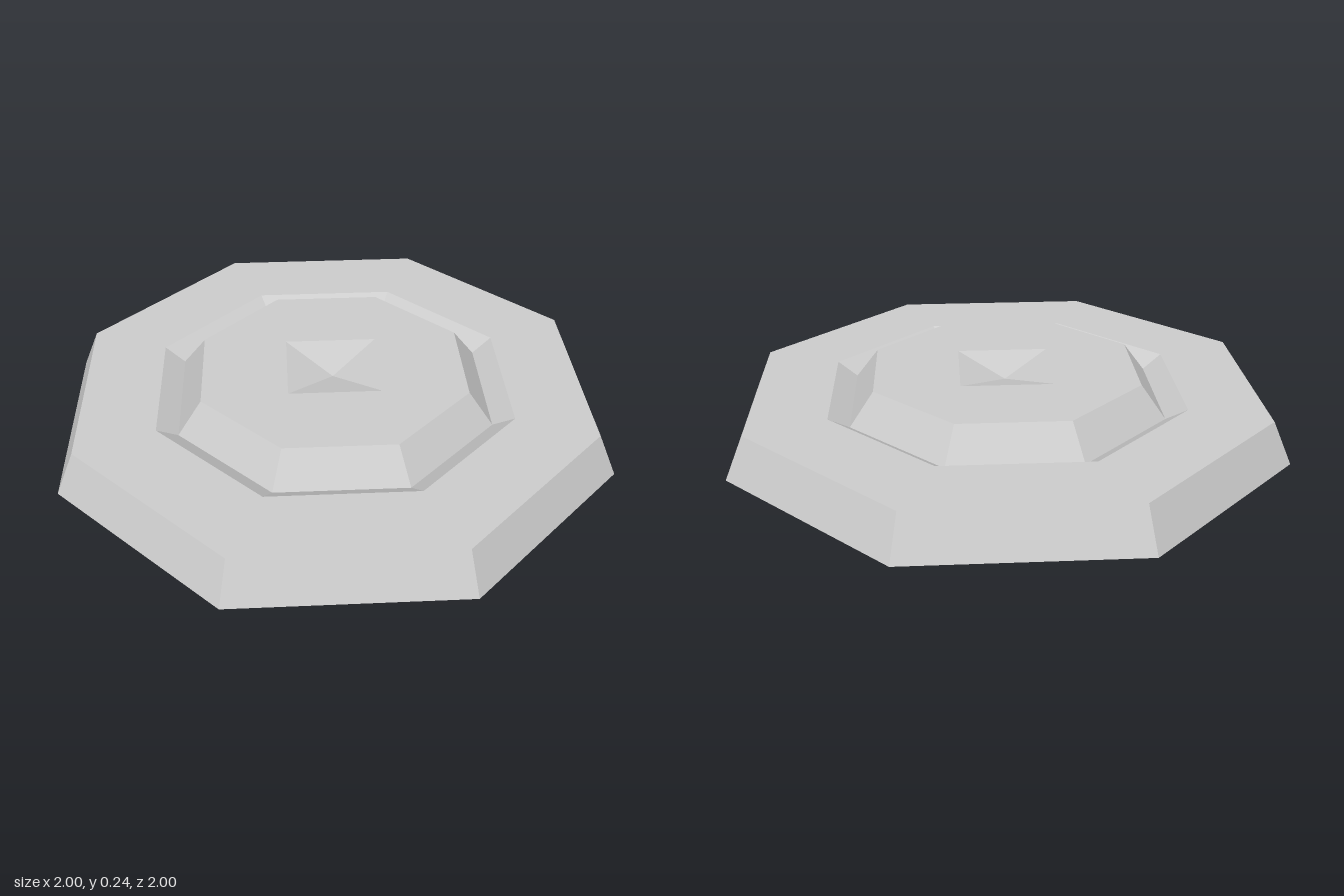
import * as THREE from 'three';

const grey = new THREE.MeshStandardMaterial({ color: 0xcccccc, flatShading: true });
grey.name = 'stone grey';

// Faceted ring surface from [radius, height] pairs, running outside-up then inward
function faceted(name, profile, sides, turn = 0) {
  const points = profile.map(([r, y]) => new THREE.Vector2(r, y));
  const geometry = new THREE.LatheGeometry(points, sides, turn).toNonIndexed();
  geometry.computeVertexNormals();
  const mesh = new THREE.Mesh(geometry, grey);
  mesh.name = name;
  return mesh;
}

// Corners of a regular polygon, matching the facets above once laid flat
function polygon(radius, sides, turn = 0) {
  return Array.from({ length: sides }, (_, i) => {
    const a = turn + (i / sides) * Math.PI * 2;
    return new THREE.Vector2(radius * Math.sin(a), -radius * Math.cos(a));
  });
}

export function createModel() {
  const group = new THREE.Group();
  group.name = 'octagonalPlate';
  const topY = 0.243, pitRadius = 0.225, pitTurn = Math.PI / 8;

  // Base slab: hollow underside, chamfered foot, sloped rim, flat top, groove wall
  group.add(faceted('base', [
    [0, 0.11], [0.84, 0.11], [0.9, 0], [1, 0.03],
    [0.935, 0.175], [0.65, 0.175], [0.575, 0.13],
  ], 8));

  // Sloped side of the raised centre, rising out of the groove
  group.add(faceted('raisedCentreSide', [[0.575, 0.13], [0.488, topY]], 8));

  // Flat top of the raised centre with a square opening
  const shape = new THREE.Shape(polygon(0.488, 8));
  shape.holes.push(new THREE.Path(polygon(pitRadius, 4, pitTurn)));
  const top = new THREE.Mesh(new THREE.ShapeGeometry(shape).rotateX(-Math.PI / 2), grey);
  top.position.y = topY;
  top.name = 'raisedCentreTop';
  group.add(top);

  // Shallow four-sided pit in the middle
  group.add(faceted('centrePit', [[pitRadius, topY], [0, topY - 0.045]], 4, pitTurn));

  return group;
}
